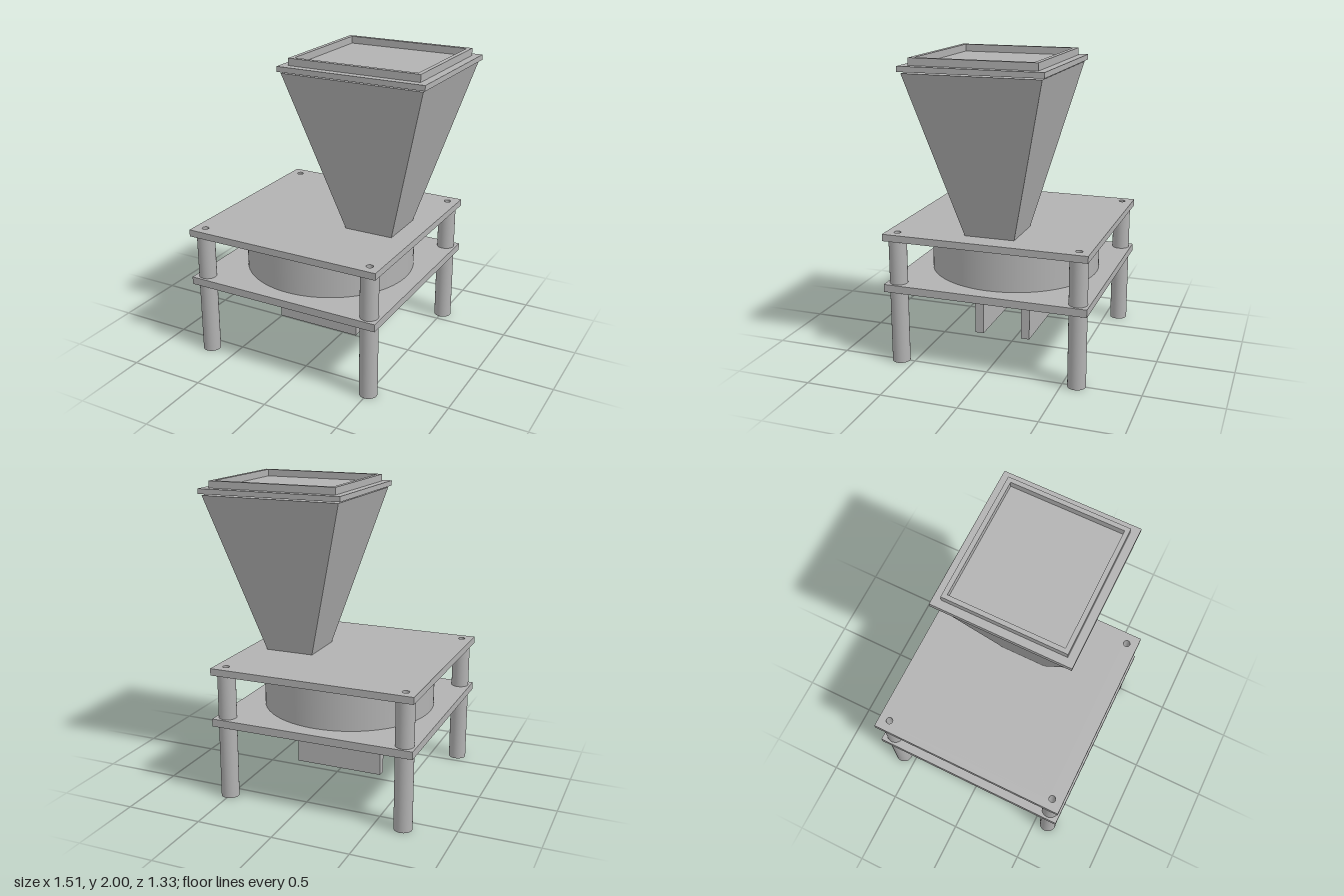
import * as THREE from 'three';

export function createModel() {
  const model = new THREE.Group();
  const grey = new THREE.MeshStandardMaterial({ color: 0xb2b2b2 });
  grey.name = 'plain grey';

  const BASE_X = -0.09;   // centre of the plates and rotor
  const HOPPER_X = 0.273; // centre of the hopper
  const POST = 0.593;     // post offset from the plate centre
  const BORE = 0.022;

  function add(name, geometry, x, y, z) {
    const mesh = new THREE.Mesh(geometry, grey);
    mesh.name = name;
    mesh.position.set(x, y, z);
    model.add(mesh);
    return mesh;
  }

  function box(name, w, d, y0, y1, x, z) {
    return add(name, new THREE.BoxGeometry(w, y1 - y0, d), x, (y0 + y1) / 2, z);
  }

  function rectangle(PathType, w, d, cx = 0, cy = 0) {
    const p = new PathType();
    p.moveTo(cx - w / 2, cy - d / 2);
    p.lineTo(cx + w / 2, cy - d / 2);
    p.lineTo(cx + w / 2, cy + d / 2);
    p.lineTo(cx - w / 2, cy + d / 2);
    p.closePath();
    return p;
  }

  const roundHole = (x, y) => new THREE.Path().absarc(x, y, BORE, 0, Math.PI * 2, true);

  // Flat outline raised from y0 to y1; shape y runs towards -z
  function slab(name, shape, holes, y0, y1, x) {
    shape.holes.push(...holes);
    const g = new THREE.ExtrudeGeometry(shape, { depth: y1 - y0, bevelEnabled: false, curveSegments: 24 });
    g.rotateX(-Math.PI / 2);
    return add(name, g, x, y0, 0);
  }

  const corners = [[-1, -1], [1, -1], [1, 1], [-1, 1]];
  const postHoles = () => corners.map(([sx, sz]) => roundHole(sx * POST, sz * POST));

  // Plates, the lower one with a discharge opening at the back
  slab('lowerPlate', rectangle(THREE.Shape, 1.332, 1.332),
    [...postHoles(), rectangle(THREE.Path, 0.25, 0.25, 0, 0.365)], 0.49, 0.54, BASE_X);
  slab('upperPlate', rectangle(THREE.Shape, 1.332, 1.332), postHoles(), 0.83, 0.875, BASE_X);

  // Hollow posts: legs below, spacers between the plates
  function post(name, y0, y1, x, z) {
    const r = 0.058;
    const walls = [[r, y0, r, y1], [r, y1, BORE, y1], [BORE, y1, BORE, y0], [BORE, y0, r, y0]];
    const group = new THREE.Group();
    group.name = name;
    for (const [ra, ya, rb, yb] of walls) {
      const profile = [new THREE.Vector2(ra, ya), new THREE.Vector2(rb, yb)];
      const wall = new THREE.Mesh(new THREE.LatheGeometry(profile, 32), grey);
      wall.name = name + 'Wall';
      group.add(wall);
    }
    group.position.set(x, 0, z);
    model.add(group);
  }
  for (const [sx, sz] of corners) {
    post('leg', 0, 0.49, BASE_X + sx * POST, sz * POST);
    post('spacer', 0.54, 0.83, BASE_X + sx * POST, sz * POST);
  }

  // Rotor between the plates
  add('rotor', new THREE.CylinderGeometry(0.56, 0.56, 0.27, 96), BASE_X, 0.675, 0);

  // Motor bracket under the lower plate
  slab('bracketBase', rectangle(THREE.Shape, 0.70, 0.406),
    [roundHole(-0.3, 0), roundHole(0.3, 0)], 0.44, 0.49, BASE_X);
  for (const s of [-1, 1]) box('bracketFin', 0.585, 0.058, 0.125, 0.44, BASE_X, s * 0.16);

  // Hopper: a box tapering to its outlet
  const hopper = new THREE.BoxGeometry(1, 1.037, 1);
  const p = hopper.attributes.position;
  for (let i = 0; i < p.count; i++) {
    const top = p.getY(i) > 0;
    p.setX(i, p.getX(i) * (top ? 0.922 : 0.325));
    p.setZ(i, p.getZ(i) * (top ? 0.85 : 0.325));
  }
  const flat = hopper.toNonIndexed();
  flat.computeVertexNormals();
  add('hopper', flat, HOPPER_X, 0.875 + 1.037 / 2, 0);

  // Lid with a raised rim
  box('lid', 0.957, 0.884, 1.922, 1.955, HOPPER_X, 0);
  slab('lidRim', rectangle(THREE.Shape, 0.857, 0.784),
    [rectangle(THREE.Path, 0.8, 0.726)], 1.955, 2.0, HOPPER_X);

  return model;
}
